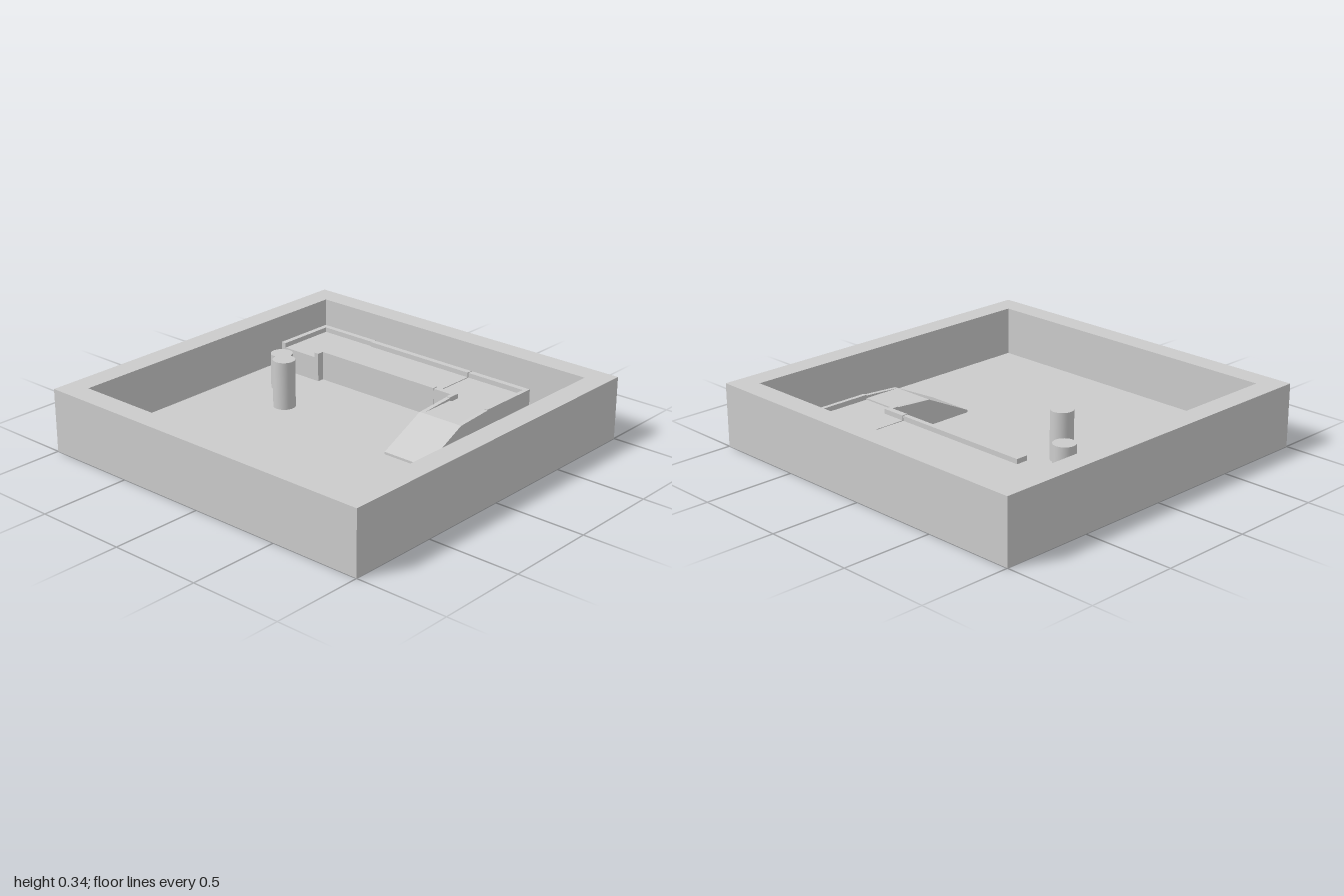
import * as THREE from 'three';

const material = new THREE.MeshStandardMaterial({ color: 0xcccccc, flatShading: true });
const smooth = new THREE.MeshStandardMaterial({ color: 0xcccccc });

const FLOOR = 0.075, DECK = 0.208, RIM = 0.234, LIP = 0.216;

function outline(points) {
  return new THREE.Shape(points.map(([a, b]) => new THREE.Vector2(a, b)));
}

// Vertical prism from a plan given as [x, z] points
function plan(points, y0, y1, hole) {
  const shape = outline(points.map(([x, z]) => [x, -z]));
  if (hole) shape.holes.push(outline(hole.map(([x, z]) => [x, -z])));
  const geometry = new THREE.ExtrudeGeometry(shape, { depth: y1 - y0, bevelEnabled: false });
  return geometry.rotateX(-Math.PI / 2).translate(0, y0, 0);
}

// Prism across x from a side profile given as [z, y] points
function profile(points, x0, x1) {
  const geometry = new THREE.ExtrudeGeometry(outline(points), { depth: x1 - x0, bevelEnabled: false });
  return geometry.rotateY(-Math.PI / 2).translate(x1, 0, 0);
}

const square = (r) => [[-r, r], [r, r], [r, -r], [-r, -r]];

export function createModel() {
  const group = new THREE.Group();
  const add = (name, geometry, mat = material) => {
    const mesh = new THREE.Mesh(geometry, mat);
    mesh.name = name;
    group.add(mesh);
  };

  // Square tray: base plate and surrounding wall
  add('base', plan(square(1), 0, FLOOR));
  add('outerWall', plan(square(1), FLOOR, 0.34, square(0.88)));

  // Raised walkway in two sections with a fine joint between them
  add('longWalkway', plan([
    [-0.797, -0.786], [-0.43, -0.786], [-0.43, -0.781], [0.239, -0.781],
    [0.239, -0.465], [-0.528, -0.465], [-0.528, -0.428], [-0.797, -0.428],
  ], FLOOR, DECK));
  add('cornerWalkway', plan([
    [0.245, -0.781], [0.617, -0.781], [0.617, -0.425], [0.355, -0.425], [0.355, -0.46], [0.245, -0.46],
  ], FLOOR, DECK));

  // Low kerbs along the outer and inner edges of each section
  add('longOuterKerb', plan([
    [-0.797, -0.428], [-0.797, -0.786], [-0.43, -0.786], [-0.43, -0.781], [0.239, -0.781],
    [0.239, -0.75], [-0.43, -0.75], [-0.43, -0.756], [-0.768, -0.756], [-0.768, -0.428],
  ], DECK, RIM));
  add('longInnerKerb', plan([
    [-0.554, -0.428], [-0.554, -0.492], [0.239, -0.492],
    [0.239, -0.465], [-0.528, -0.465], [-0.528, -0.428],
  ], DECK, RIM));
  add('cornerOuterKerb', plan([
    [0.245, -0.781], [0.617, -0.781], [0.617, -0.425],
    [0.595, -0.425], [0.595, -0.75], [0.245, -0.75],
  ], DECK, RIM));
  add('cornerInnerKerb', plan([
    [0.245, -0.492], [0.378, -0.492], [0.378, -0.425],
    [0.355, -0.425], [0.355, -0.46], [0.245, -0.46],
  ], DECK, RIM));

  // Level landing before the ramp, with kerbs that taper into it
  add('landing', profile([[-0.425, FLOOR], [-0.213, FLOOR], [-0.213, LIP], [-0.425, LIP]], 0.355, 0.617));
  for (const [x0, x1] of [[0.355, 0.378], [0.595, 0.617]]) {
    add('kerbEnd', profile([[-0.425, LIP], [-0.22, LIP], [-0.425, 0.23]], x0, x1));
  }

  // Ramp down to the floor
  add('ramp', profile([[-0.213, FLOOR], [0.055, FLOOR], [0.055, 0.088], [-0.213, LIP]], 0.355, 0.617));

  // Two round posts of different heights
  for (const [x, z, top] of [[-0.625, -0.247, 0.266], [-0.433, -0.062, 0.336]]) {
    const height = top - FLOOR;
    add('post', new THREE.CylinderGeometry(0.059, 0.059, height, 40).translate(x, FLOOR + height / 2, z), smooth);
  }

  return group;
}
